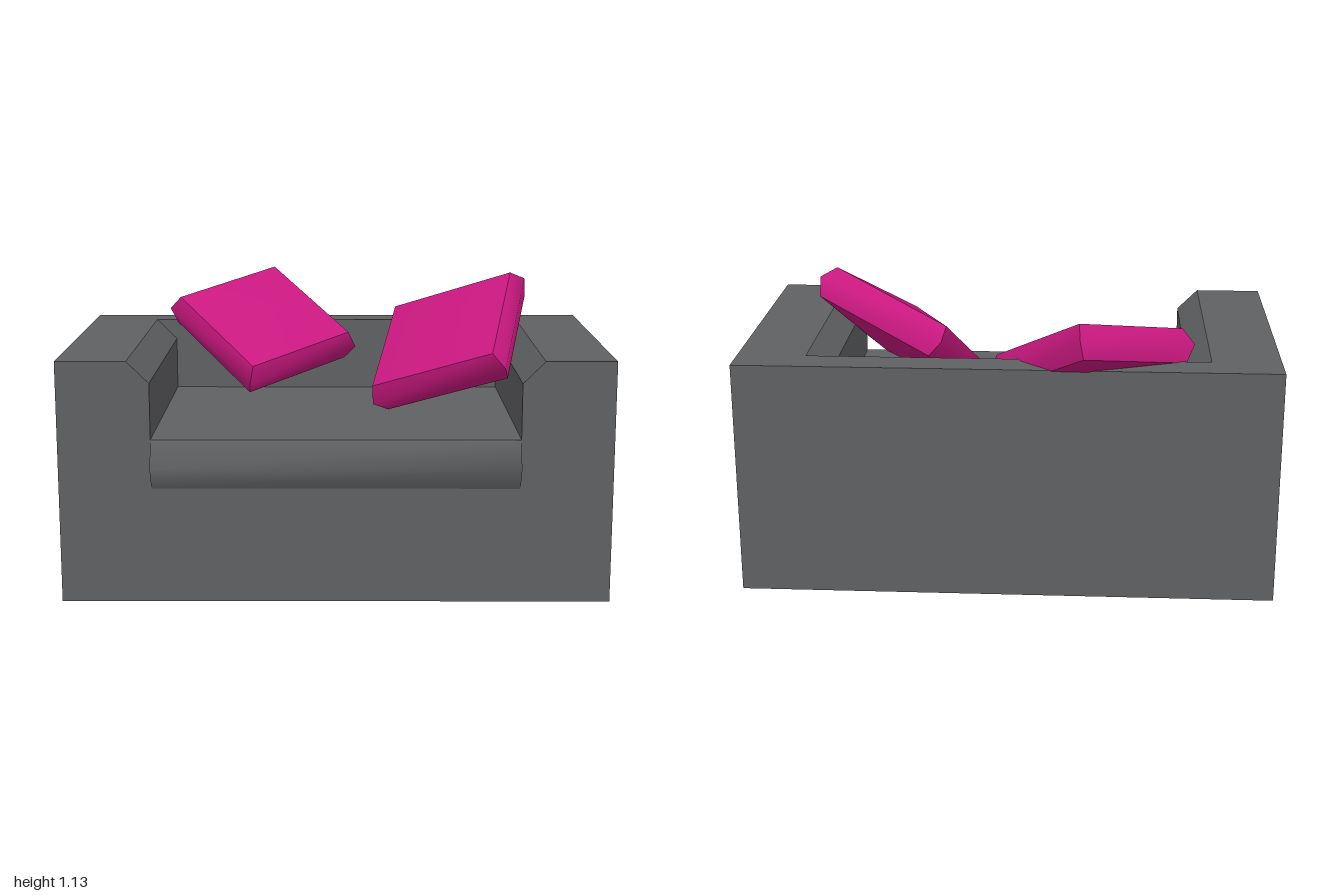
import * as THREE from 'three';
import { toCreasedNormals } from 'three/addons/utils/BufferGeometryUtils.js';

const CREASE = 0.95;
const fabric = new THREE.MeshStandardMaterial({ color: 0x5f6062 });
const pink = new THREE.MeshStandardMaterial({ color: 0xc8187f });

function addMesh(parent, name, geometry, material) {
  const mesh = new THREE.Mesh(geometry, material);
  mesh.name = name;
  parent.add(mesh);
  return mesh;
}

function extrude(points, depth) {
  const shape = new THREE.Shape(points.map(([x, y]) => new THREE.Vector2(x, y)));
  return new THREE.ExtrudeGeometry(shape, { depth, bevelEnabled: false });
}

// Pillow: three rectangular rings (the middle one widest) closed by shallow pyramids
function cushionGeometry(width, depth, thickness, bulge, dome) {
  const positions = [0, -thickness / 2 - dome, 0, 0, thickness / 2 + dome, 0];
  for (const level of [-1, 0, 1]) {
    const out = level === 0 ? bulge : 0;
    for (const [sx, sz] of [[-1, -1], [-1, 1], [1, 1], [1, -1]]) {
      positions.push(sx * (width / 2 + out), level * thickness / 2, sz * (depth / 2 + out));
    }
  }
  const at = (ring, i) => 2 + ring * 4 + (i % 4);
  const index = [];
  for (let i = 0; i < 4; i++) {
    index.push(0, at(0, i + 1), at(0, i));
    index.push(1, at(2, i), at(2, i + 1));
    for (const r of [0, 1]) {
      index.push(at(r, i), at(r, i + 1), at(r + 1, i + 1));
      index.push(at(r, i), at(r + 1, i + 1), at(r + 1, i));
    }
  }
  const geometry = new THREE.BufferGeometry();
  geometry.setAttribute('position', new THREE.Float32BufferAttribute(positions, 3));
  geometry.setIndex(index);
  return toCreasedNormals(geometry, CREASE);
}

export function createModel() {
  const sofa = new THREE.Group();
  sofa.name = 'sofa';

  // Base and arms: one profile with bevelled inner arm edges
  const half = [[0.665, 0.605], [0.665, 0.81], [0.745, 0.89], [1, 0.89], [1, 0]];
  const mirrored = half.map(([x, y]) => [-x, y]).reverse();
  const body = addMesh(sofa, 'baseAndArms', extrude([...mirrored, ...half], 1.0), fabric);
  body.position.z = -0.39;

  // Backrest
  const back = addMesh(sofa, 'backrest', new THREE.BoxGeometry(2, 0.89, 0.13), fabric);
  back.position.set(0, 0.445, -0.455);

  // Seat lip: softly shaded ridge along the front
  const lip = extrude([[0.61, 0.425], [0.655, 0.505], [0.61, 0.605]], 1.33);
  lip.translate(0, 0, -0.665).rotateY(-Math.PI / 2);
  addMesh(sofa, 'seatLip', toCreasedNormals(lip, CREASE), fabric);

  // Loose cushions, each placed by its centre, long edge and face direction
  const pillow = cushionGeometry(0.518, 0.475, 0.13, 0.027, 0.04);
  const placements = [
    ['rightCushion', [-0.303, 0.87, -0.31], [-0.311, 0.226, -0.345], [0.12, 0.88, 0.457]],
    ['leftCushion', [0.44, 0.871, 0.04], [0.44, 0.165, 0.22], [-0.48, 0.78, 0.385]],
  ];
  for (const [name, centre, edge, face] of placements) {
    const u = new THREE.Vector3(...edge).normalize();
    const w = new THREE.Vector3().crossVectors(u, new THREE.Vector3(...face)).normalize();
    const n = new THREE.Vector3().crossVectors(w, u);
    const cushion = addMesh(sofa, name, pillow, pink);
    cushion.quaternion.setFromRotationMatrix(new THREE.Matrix4().makeBasis(u, n, w));
    cushion.position.set(...centre);
  }
  return sofa;
}
